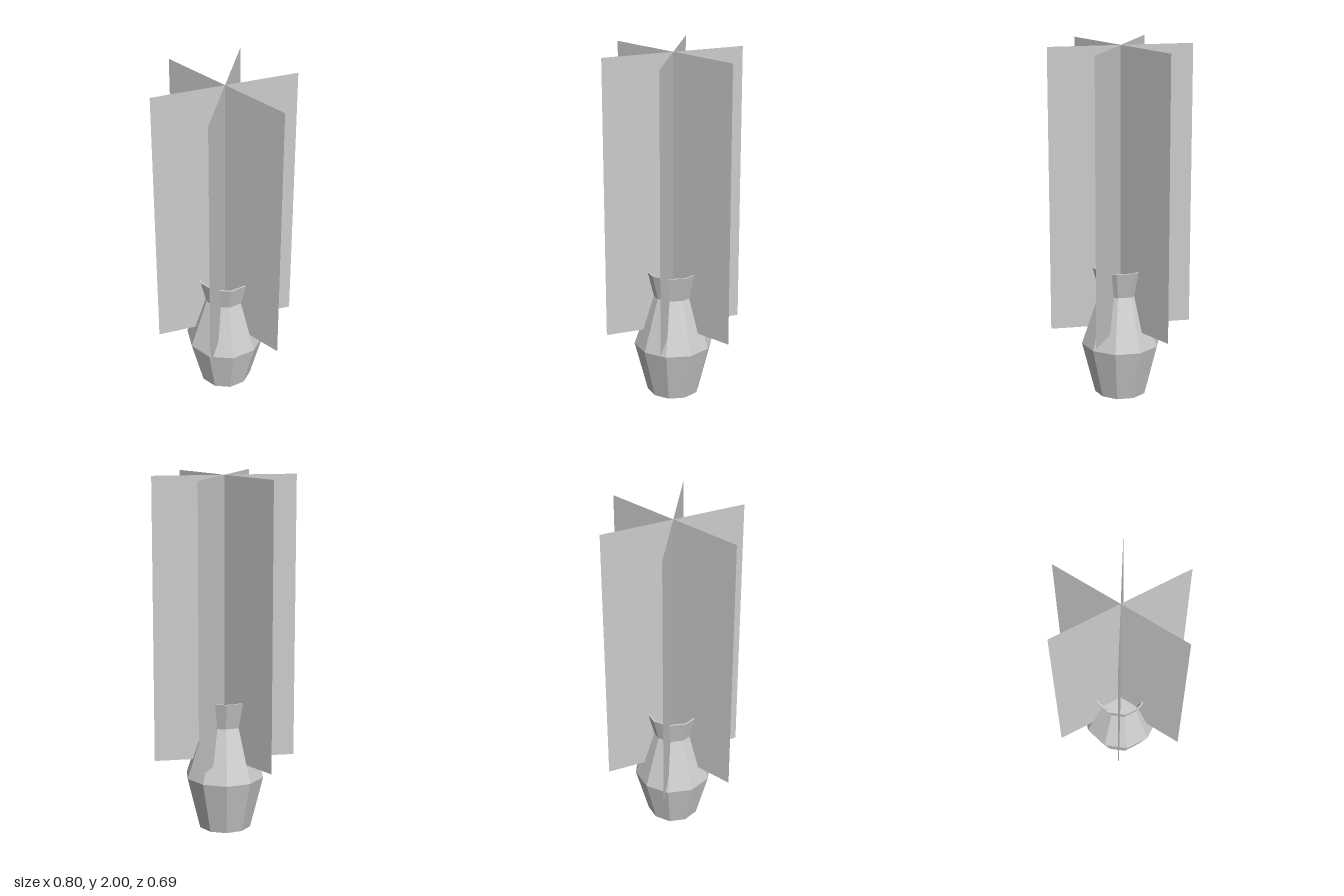
import * as THREE from 'three';

export function createModel() {
  const model = new THREE.Group();
  const gray = new THREE.MeshStandardMaterial({ color: 0xcccccc, side: THREE.DoubleSide });
  gray.name = 'light gray';

  // Ten-sided vase with a flared lip and a shallow closed mouth
  const profile = [
    [0, 0], [0.15, 0], [0.225, 0.3], [0.122, 0.6],
    [0.16, 0.75], [0.15, 0.75], [0.113, 0.6], [0, 0.6],
  ].map(([r, y]) => new THREE.Vector2(r, y));
  const vaseGeometry = new THREE.LatheGeometry(profile, 10, Math.PI / 2).toNonIndexed();
  vaseGeometry.computeVertexNormals();
  const vase = new THREE.Mesh(vaseGeometry, gray);
  vase.name = 'vase';
  model.add(vase);

  // Three upright cards crossing at the centre, for the plant
  const plant = new THREE.Group();
  plant.name = 'plantCards';
  const cardGeometry = new THREE.PlaneGeometry(0.8, 1.6);
  for (let i = 0; i < 3; i++) {
    const card = new THREE.Mesh(cardGeometry, gray);
    card.name = `plantCard${i + 1}`;
    card.position.y = 1.2;
    card.rotation.y = (i * Math.PI) / 3;
    plant.add(card);
  }
  model.add(plant);

  return model;
}
